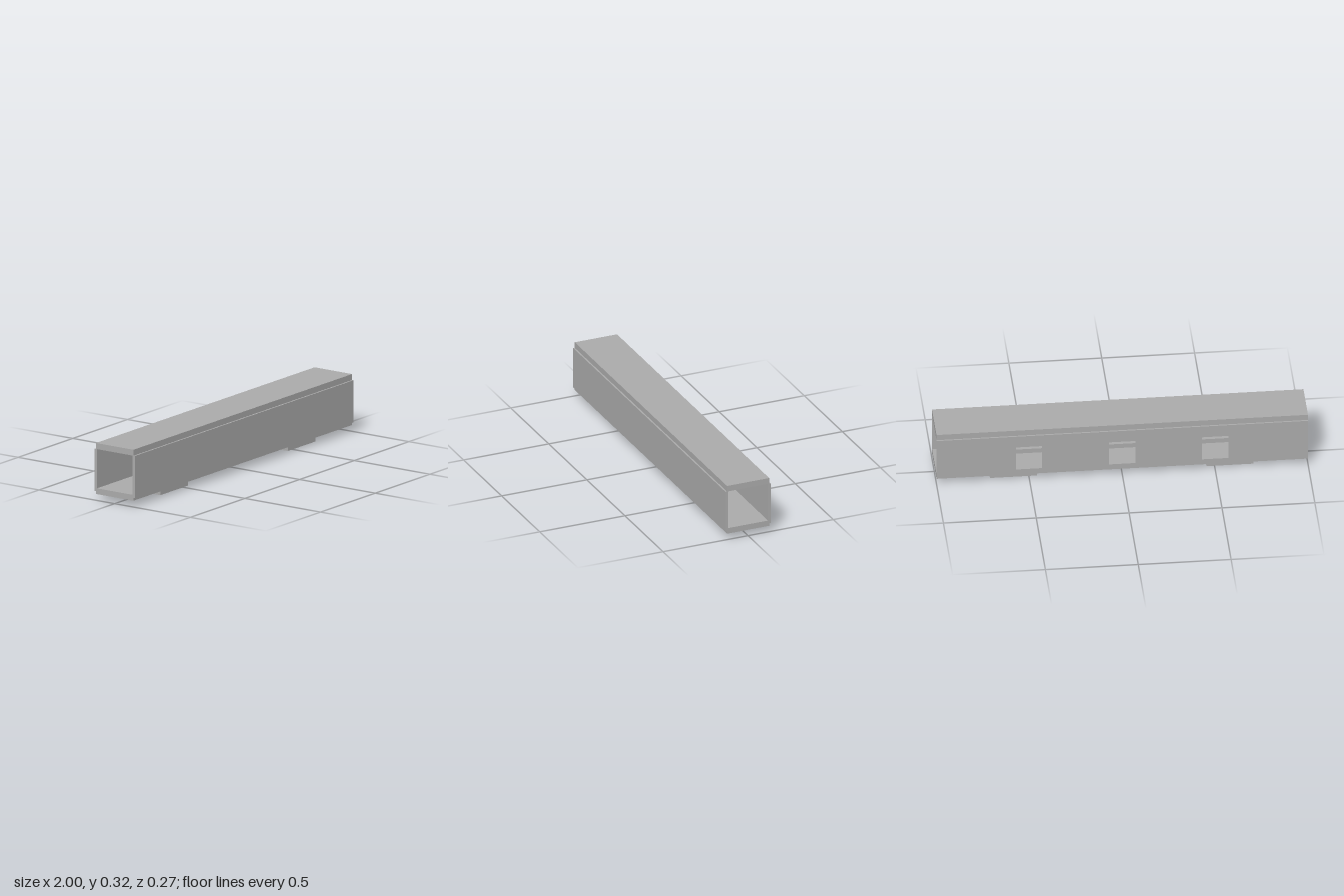
import * as THREE from 'three';

export function createModel() {
  const model = new THREE.Group();
  model.name = 'modularHall';
  const grey = new THREE.MeshStandardMaterial({ color: 0xaaaaaa });
  grey.name = 'grey';

  // box given by its limits on each axis
  function box(name, [x0, x1], [y0, y1], [z0, z1]) {
    const mesh = new THREE.Mesh(new THREE.BoxGeometry(x1 - x0, y1 - y0, z1 - z0), grey);
    mesh.position.set((x0 + x1) / 2, (y0 + y1) / 2, (z0 + z1) / 2);
    mesh.name = name;
    model.add(mesh);
  }

  const length = [-1, 1];
  const wallBottom = 0.051, wallTop = 0.284, doorTop = 0.215;
  const inner = 0.117, outer = 0.133;

  // tube body: floor, roof and plain front wall
  box('floor', length, [0.035, 0.067], [-0.124, 0.124]);
  box('roof', length, [0.284, 0.317], [-0.124, 0.124]);
  box('frontWall', length, [wallBottom, wallTop], [inner, outer]);

  // back wall with three doorways open at the bottom
  const half = 0.072, post = 0.056;
  const gaps = [
    [-0.5 - half, -0.5 + half + post],
    [-half - post, half],
    [0.5 - half, 0.5 + half],
  ];
  const outline = new THREE.Shape();
  outline.moveTo(-1, wallBottom);
  for (const [a, b] of gaps) {
    outline.lineTo(a, wallBottom);
    outline.lineTo(a, doorTop);
    outline.lineTo(b, doorTop);
    outline.lineTo(b, wallBottom);
  }
  outline.lineTo(1, wallBottom);
  outline.lineTo(1, wallTop);
  outline.lineTo(-1, wallTop);
  const backWall = new THREE.Mesh(
    new THREE.ExtrudeGeometry(outline, { depth: outer - inner, bevelEnabled: false }), grey);
  backWall.position.z = -outer;
  backWall.name = 'backWall';
  model.add(backWall);

  // slightly recessed posts beside two doorways
  for (const x of [-0.5 + half, -half - post]) {
    box('doorPost', [x, x + post], [wallBottom, doorTop], [-outer + 0.004, -inner]);
  }

  // crossbar below the top of each doorway
  for (const x of [-0.5, 0, 0.5]) {
    box('doorCrossbar', [x - half, x + half], [0.17, 0.196], [-0.125, -inner]);
  }

  // support pads
  for (const s of [-1, 1]) {
    box('supportPad', [s * 0.583 - 0.126, s * 0.583 + 0.126], [0, 0.035], [-0.092, 0.092]);
  }

  return model;
}
